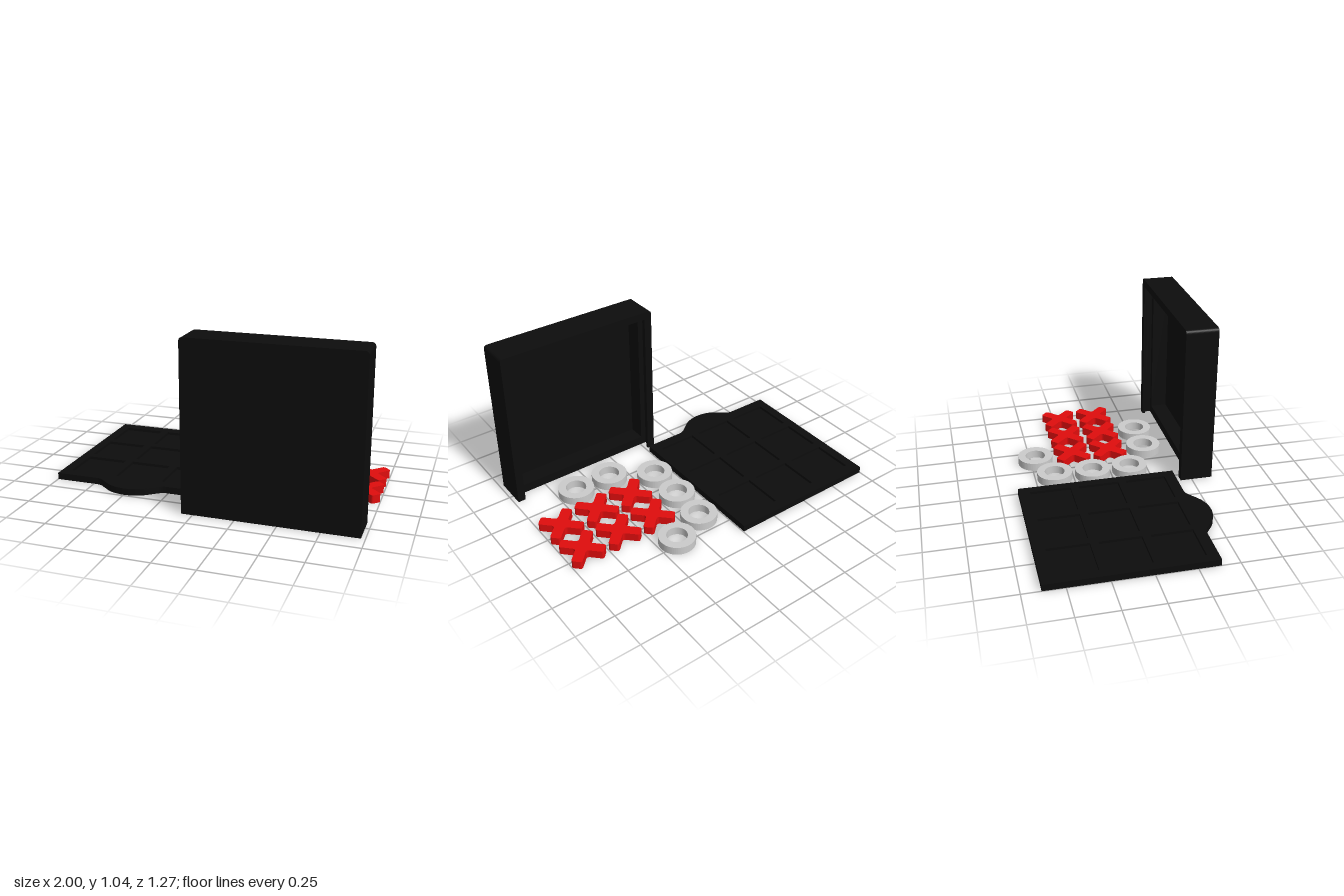
import * as THREE from 'three';

const black = new THREE.MeshStandardMaterial({ color: 0x0d0d0d });
const red = new THREE.MeshStandardMaterial({ color: 0xe00d0d });
const grey = new THREE.MeshStandardMaterial({ color: 0xcccccc });

function extrude(shape, depth) {
  return new THREE.ExtrudeGeometry(shape, { depth, bevelEnabled: false, curveSegments: 16 });
}

// Extrude a plan drawn as (x, -z) upwards from height y
function flat(shape, depth, y = 0) {
  return extrude(shape, depth).rotateX(-Math.PI / 2).translate(0, y, 0);
}

function add(parent, name, geometry, material) {
  const mesh = new THREE.Mesh(geometry, material);
  mesh.name = name;
  parent.add(mesh);
  return mesh;
}

function rect(target, x0, y0, x1, y1) {
  target.moveTo(x0, y0).lineTo(x1, y0).lineTo(x1, y1).lineTo(x0, y1).closePath();
  return target;
}

// Box standing on its open end, with its hollow side facing back
function makeCase() {
  const group = new THREE.Group();
  group.name = 'case';
  const x0 = -0.07, x1 = 0.975, top = 1.045, r = 0.025;
  // Outline with rounded upper corners; a wall value cuts a channel open at the bottom
  const outline = (wall) => {
    const s = new THREE.Shape();
    s.moveTo(x1, 0).lineTo(x1, top - r).quadraticCurveTo(x1, top, x1 - r, top);
    s.lineTo(x0 + r, top).quadraticCurveTo(x0, top, x0, top - r).lineTo(x0, 0);
    if (wall) {
      s.lineTo(x0 + wall, 0).lineTo(x0 + wall, top - wall);
      s.lineTo(x1 - wall, top - wall).lineTo(x1 - wall, 0);
    }
    s.closePath();
    return s;
  };
  const walls = outline();
  walls.holes.push(rect(new THREE.Path(), x0 + 0.06, 0.06, x1 - 0.06, top - 0.06));
  add(group, 'caseFloor', extrude(outline(), 0.035).translate(0, 0, 0.6), black);
  add(group, 'caseWalls', extrude(walls, 0.11).translate(0, 0, 0.49), black);
  add(group, 'lidGroove', extrude(outline(0.025), 0.045).translate(0, 0, 0.445), black);
  add(group, 'grooveLip', extrude(outline(0.05), 0.02).translate(0, 0, 0.425), black);
  return group;
}

// Sliding lid: board of nine shallow cells with a rounded thumb tab
function makeLid() {
  const group = new THREE.Group();
  group.name = 'lid';
  const outline = () => {
    const s = new THREE.Shape();
    s.moveTo(-1, 0.635).lineTo(-1, -0.385).lineTo(-0.73, -0.385);
    s.quadraticCurveTo(-0.7, -0.385, -0.67, -0.412);
    s.splineThru([[-0.59, -0.468], [-0.495, -0.488], [-0.4, -0.468], [-0.32, -0.412]]
      .map(([x, y]) => new THREE.Vector2(x, y)));
    s.quadraticCurveTo(-0.29, -0.385, -0.26, -0.385);
    s.lineTo(-0.005, -0.385).lineTo(-0.005, 0.635).closePath();
    return s;
  };
  const grid = outline();
  for (let i = -1; i <= 1; i++) {
    for (let j = -1; j <= 1; j++) {
      const x = -0.5 + i * 0.31, y = 0.125 + j * 0.31;
      grid.holes.push(rect(new THREE.Path(), x - 0.13, y - 0.13, x + 0.13, y + 0.13));
    }
  }
  add(group, 'lidBase', flat(outline(), 0.024), black);
  add(group, 'boardGrid', flat(grid, 0.018, 0.024), black);
  return group;
}

// Cross piece: four rounded arms with filleted inner corners, turned 45 degrees
function crossGeometry(height) {
  const L = 0.137, h = 0.033, r = 0.016, f = 0.02;
  const s = new THREE.Shape();
  for (let k = 0; k < 4; k++) {
    const a = Math.PI / 4 + k * Math.PI / 2, c = Math.cos(a), n = Math.sin(a);
    const p = (x, y) => [x * c - y * n, x * n + y * c];
    if (k === 0) s.moveTo(...p(h + f, -h));
    s.lineTo(...p(L - r, -h));
    s.quadraticCurveTo(...p(L, -h), ...p(L, -h + r));
    s.lineTo(...p(L, h - r));
    s.quadraticCurveTo(...p(L, h), ...p(L - r, h));
    s.lineTo(...p(h + f, h));
    s.quadraticCurveTo(...p(h, h), ...p(h, h + f));
  }
  return flat(s, height);
}

function ringGeometry(height) {
  const s = new THREE.Shape().absarc(0, 0, 0.115, 0, Math.PI * 2);
  s.holes.push(new THREE.Path().absarc(0, 0, 0.065, 0, Math.PI * 2, true));
  return new THREE.ExtrudeGeometry(s, { depth: height, bevelEnabled: false, curveSegments: 32 })
    .rotateX(-Math.PI / 2);
}

export function createModel() {
  const model = new THREE.Group();
  model.name = 'noughtsAndCrossesSet';
  model.add(makeCase(), makeLid());

  // Playing pieces lying on the ground
  const pieceHeight = 0.053;
  const cross = crossGeometry(pieceHeight), ring = ringGeometry(pieceHeight);
  for (const x of [0.38, 0.63, 0.883]) {
    for (const z of [-0.215, 0.035]) add(model, 'crossPiece', cross, red).position.set(x, 0, z);
  }
  const rings = [[0.143, -0.373], [0.377, -0.467], [0.13, -0.123], [0.13, 0.127], [0.382, 0.285], [0.632, 0.285]];
  for (const [x, z] of rings) add(model, 'ringPiece', ring, grey).position.set(x, 0, z);
  return model;
}
